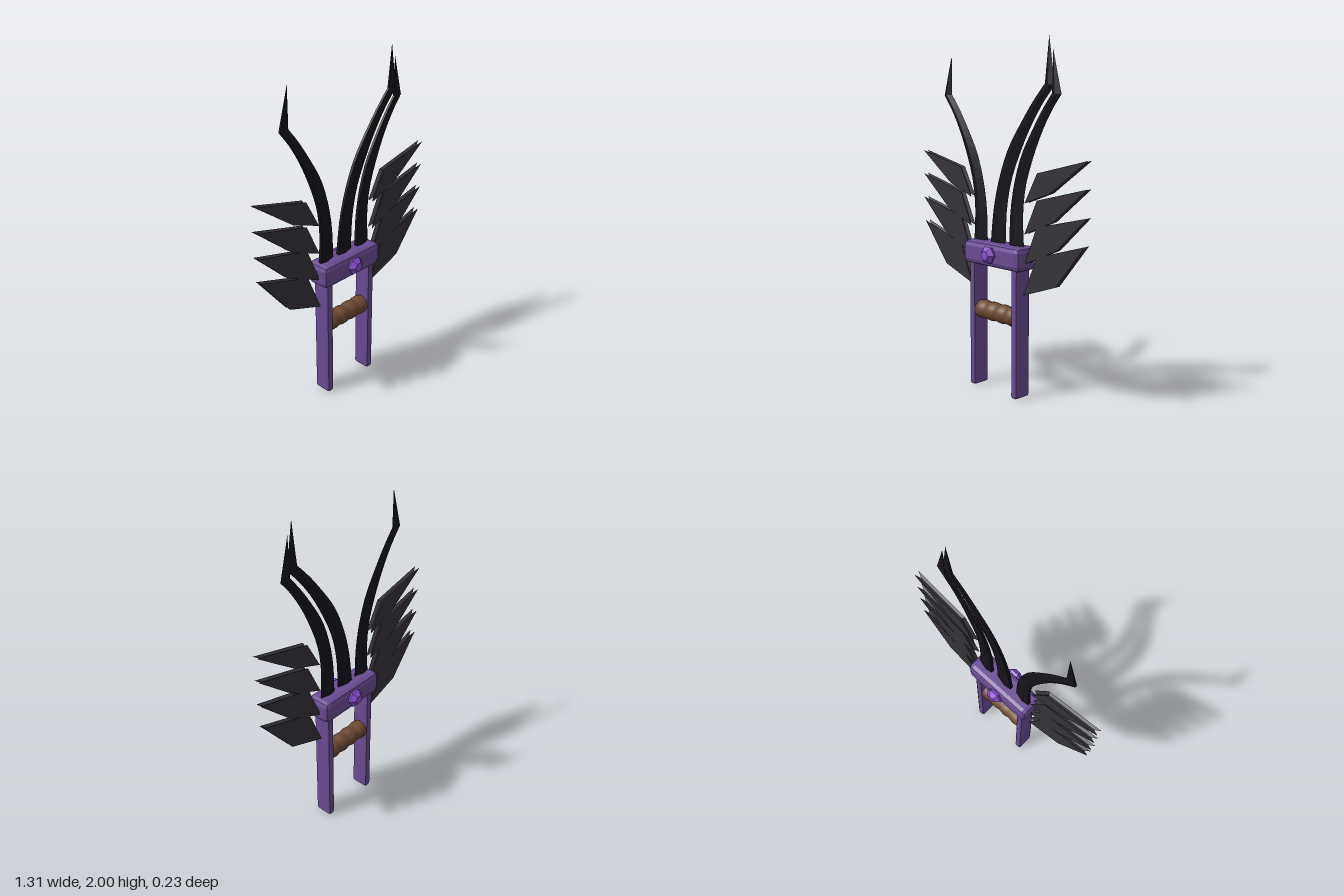
import * as THREE from 'three';
import { RoundedBoxGeometry } from 'three/addons/geometries/RoundedBoxGeometry.js';

const mat = (color, flatShading = true) => new THREE.MeshStandardMaterial({ color, flatShading });
const purple = mat(0x6a4c93), violet = mat(0x8a4fd0), black = mat(0x15131a),
  charcoal = mat(0x36333a), brown = mat(0x6b4a32, false);

// Skin a stack of equal-length rings and cap both ends
function loft(rings) {
  const n = rings[0].length, pos = [];
  const tri = (a, b, c) => pos.push(...a, ...b, ...c);
  for (let i = 0; i + 1 < rings.length; i++) {
    for (let j = 0; j < n; j++) {
      const k = (j + 1) % n, lo = rings[i], hi = rings[i + 1];
      tri(lo[j], lo[k], hi[k]);
      tri(lo[j], hi[k], hi[j]);
    }
  }
  const first = rings[0], last = rings[rings.length - 1];
  for (let j = 1; j < n - 1; j++) {
    tri(first[0], first[j + 1], first[j]);
    tri(last[0], last[j], last[j + 1]);
  }
  const g = new THREE.BufferGeometry();
  g.setAttribute('position', new THREE.Float32BufferAttribute(pos, 3));
  g.computeVertexNormals();
  return g;
}

// Claw edges relative to the top of the bar, bending towards +x
const curve = pts => new THREE.CatmullRomCurve3(pts.map(([x, y]) => new THREE.Vector3(x, y, 0)));
const outerEdge = curve([[0.05, -0.06], [0.05, 0], [0.043, 0.18], [0.063, 0.34], [0.118, 0.5], [0.183, 0.64], [0.25, 0.75], [0.313, 0.83]]);
const innerEdge = curve([[-0.053, -0.06], [-0.053, 0], [-0.047, 0.18], [-0.02, 0.34], [0.033, 0.5], [0.107, 0.63], [0.186, 0.75], [0.253, 0.835]]);
const clawTip = new THREE.Vector3(0.253, 1.06, 0);

// Blade section: blunt on the -x side, sharp on the +x side
function clawGeometry(side) {
  const steps = 18, rings = [];
  const section = (a, b, t) => {
    const [l, r] = side > 0 ? [a, b] : [b, a];
    return [[0, 0.6], [0.4, 1], [1, 0], [0.4, -1], [0, -0.6]].map(([s, z]) => {
      const p = l.clone().lerp(r, s);
      return [p.x * side, p.y, z * t];
    });
  };
  for (let i = 0; i <= steps; i++) {
    const u = i / steps;
    rings.push(section(innerEdge.getPoint(u), outerEdge.getPoint(u), 0.017 - 0.006 * u));
  }
  rings.push(section(clawTip, clawTip, 0));
  return loft(rings);
}

// Flat feather with a groove running around its rim
function featherGeometry(outline, side) {
  let pts = outline.map(([x, y]) => [x * side, y]);
  if (side < 0) pts.reverse();
  const cx = pts.reduce((s, p) => s + p[0], 0) / pts.length;
  const cy = pts.reduce((s, p) => s + p[1], 0) / pts.length;
  return loft([[-0.016, 1], [0, 0.87], [0.016, 1]].map(([z, k]) =>
    pts.map(([x, y]) => [cx + (x - cx) * k, cy + (y - cy) * k, z])));
}

export function createModel() {
  const model = new THREE.Group();
  const add = (name, geometry, material, x = 0, y = 0, z = 0) => {
    const mesh = new THREE.Mesh(geometry, material);
    mesh.name = name;
    mesh.position.set(x, y, z);
    model.add(mesh);
    return mesh;
  };

  // Frame: crossbar and two side rails
  add('crossbar', new RoundedBoxGeometry(0.452, 0.137, 0.15, 1, 0.03), purple, 0, 0.804, 0);
  for (const s of [-1, 1]) {
    add('sideRail', new RoundedBoxGeometry(0.045, 0.78, 0.11, 1, 0.014), purple, s * 0.171, 0.39, 0);
  }

  // Ribbed grip
  const profile = [];
  for (let i = 0; i <= 32; i++) {
    const u = i / 32;
    profile.push(new THREE.Vector2(0.049 + 0.007 * Math.abs(Math.sin(u * Math.PI * 4)), (u - 0.5) * 0.32));
  }
  add('grip', new THREE.LatheGeometry(profile, 20), brown, 0, 0.46, 0).rotation.z = Math.PI / 2;

  // Cut gems on both faces of the crossbar
  const gemProfile = [[0.045, 0], [0.054, 0.022], [0.028, 0.047], [0, 0.047]].map(p => new THREE.Vector2(...p));
  const gem = new THREE.LatheGeometry(gemProfile, 6, Math.PI / 2);
  for (const s of [-1, 1]) {
    add('gem', gem, violet, 0, 0.81, s * 0.068).rotation.x = s * Math.PI / 2;
  }

  // Three barbed claws; the middle one is longer and leans further
  add('leftClaw', clawGeometry(1), black, 0.147, 0.87, 0);
  add('rightClaw', clawGeometry(-1), black, -0.147, 0.87, 0);
  const middle = add('middleClaw', clawGeometry(1), black, 0, 0.87, 0);
  middle.rotation.z = -0.088;
  middle.scale.set(1.07, 1.094, 1);

  // Feathers: tip, upper corner, root, lower corner
  const feathers = [
    [[0.656, 1.37], [0.307, 1.286], [0.215, 1.116], [0.402, 1.185]],
    [[0.656, 1.227], [0.307, 1.14], [0.215, 0.945], [0.425, 1.035]],
    [[0.656, 1.08], [0.307, 0.995], [0.215, 0.778], [0.45, 0.884]],
    [[0.645, 0.933], [0.307, 0.83], [0.212, 0.603], [0.447, 0.688]],
  ];
  for (const s of [-1, 1]) {
    for (const f of feathers) add(s > 0 ? 'leftFeather' : 'rightFeather', featherGeometry(f, s), charcoal);
  }
  return model;
}
